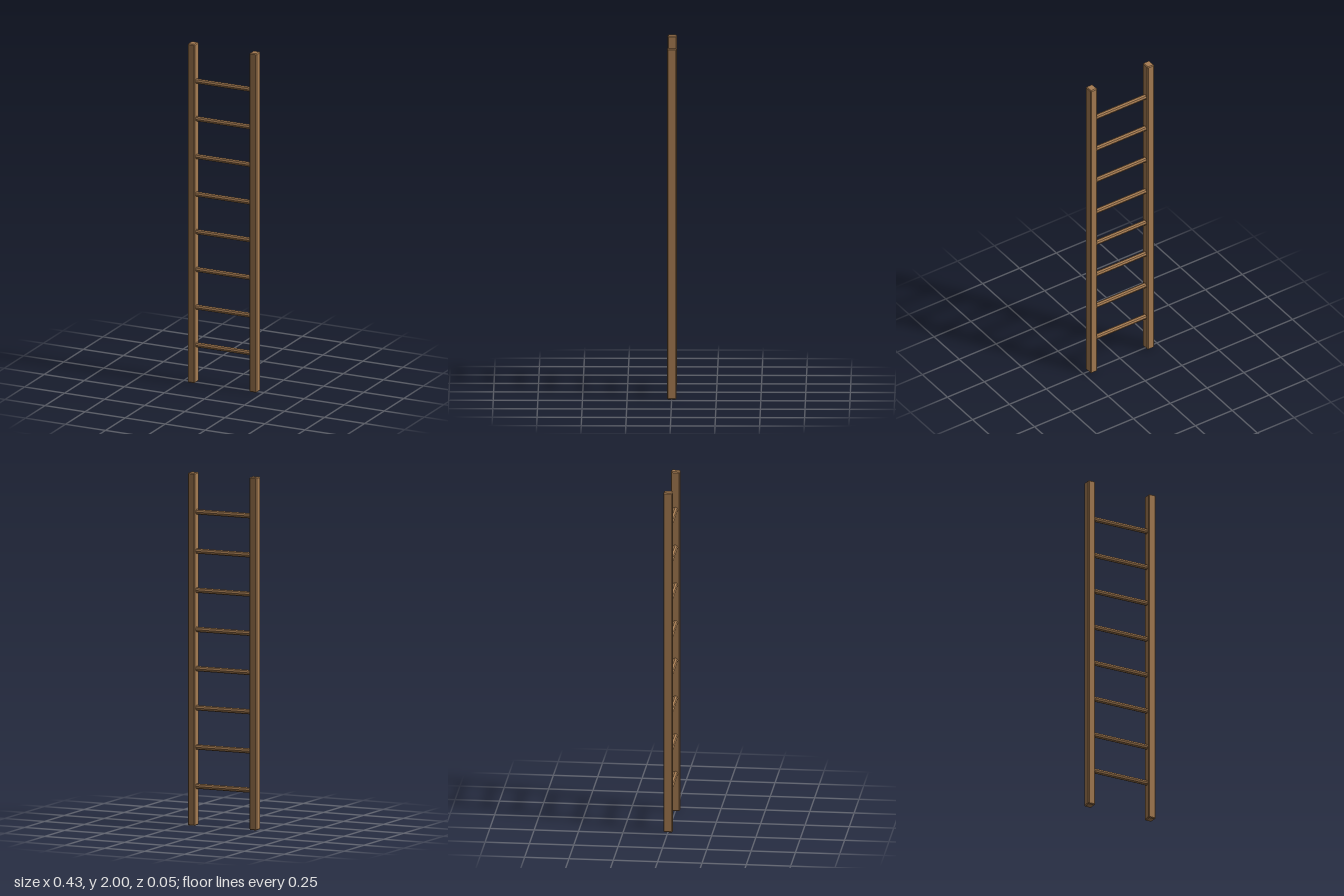
import * as THREE from 'three';
import { ConvexGeometry } from 'three/addons/geometries/ConvexGeometry.js';

// Box with every edge and corner chamfered
function chamferedBox(w, h, d, c) {
  const points = [];
  for (const x of [-1, 1]) for (const y of [-1, 1]) for (const z of [-1, 1]) {
    const full = [w / 2, h / 2, d / 2];
    for (let axis = 0; axis < 3; axis++) {
      const [px, py, pz] = full.map((v, i) => (i === axis ? v : v - c));
      points.push(new THREE.Vector3(x * px, y * py, z * pz));
    }
  }
  return new ConvexGeometry(points);
}

export function createModel() {
  const ladder = new THREE.Group();
  ladder.name = 'ladder';

  const wood = new THREE.MeshStandardMaterial({ color: 0xa67c52, flatShading: true });
  wood.name = 'wood';

  // Two upright rails
  const railGeometry = chamferedBox(0.045, 2, 0.052, 0.005);
  for (const side of [-1, 1]) {
    const rail = new THREE.Mesh(railGeometry, wood);
    rail.name = side > 0 ? 'leftRail' : 'rightRail';
    rail.position.set(side * 0.193, 1, 0);
    ladder.add(rail);
  }

  // Eight evenly spaced octagonal rungs, ends sunk into the rails
  const rungCount = 8;
  const rungGeometry = new THREE.CylinderGeometry(0.015, 0.015, 0.386, 8);
  rungGeometry.rotateZ(Math.PI / 2);
  for (let i = 1; i <= rungCount; i++) {
    const rung = new THREE.Mesh(rungGeometry, wood);
    rung.name = `rung${i}`;
    rung.position.y = (2 * i) / (rungCount + 1);
    ladder.add(rung);
  }

  return ladder;
}
